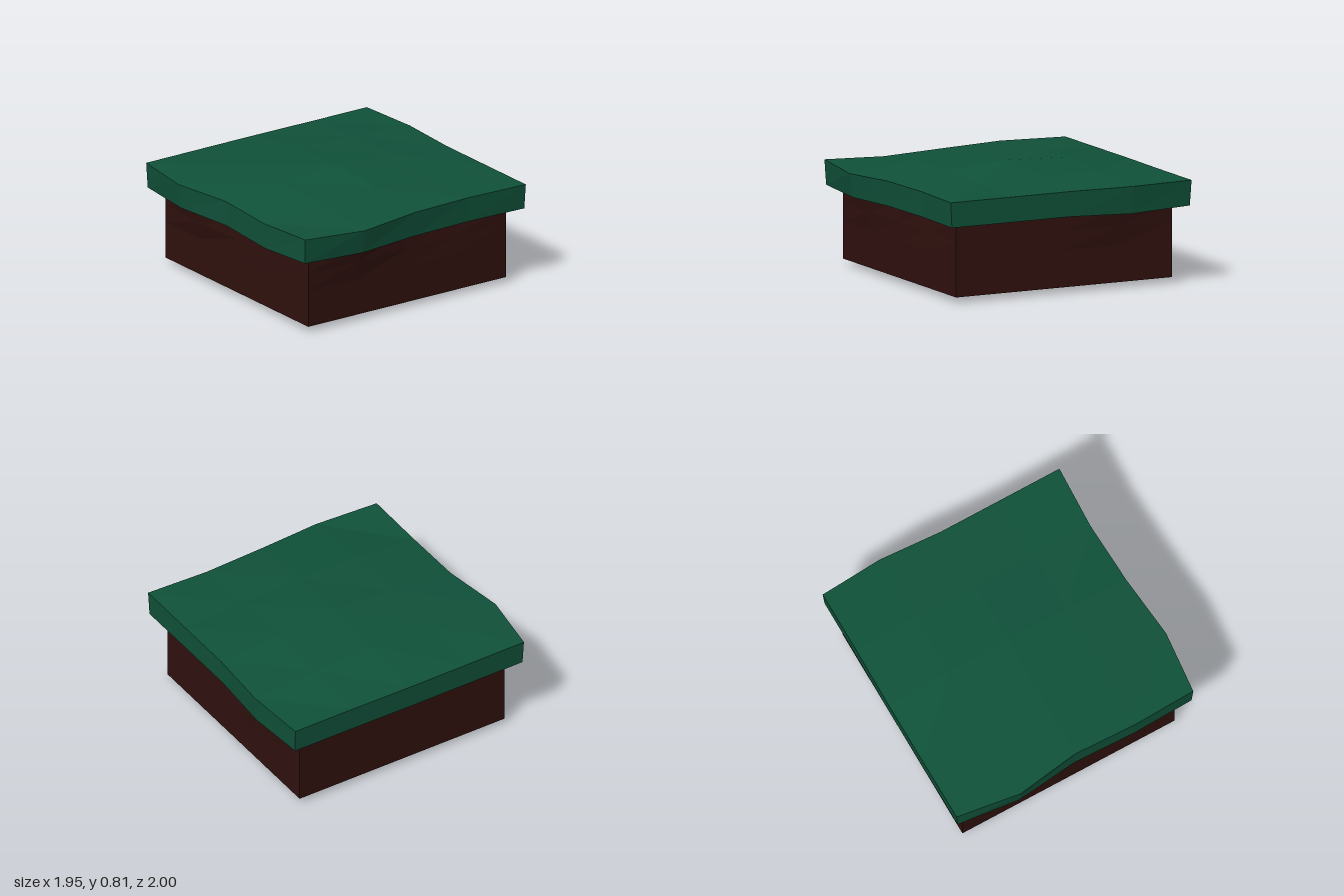
import * as THREE from 'three';

// Box whose vertices are moved by a rule: move(p, i, j, k), with grid indices along x, y, z
function warpedBox(name, color, x0, x1, y0, y1, z0, z1, ySeg, move) {
  const geo = new THREE.BoxGeometry(1, 1, 1, 4, ySeg, 4);
  const pos = geo.attributes.position;
  const p = new THREE.Vector3();
  for (let n = 0; n < pos.count; n++) {
    p.fromBufferAttribute(pos, n).addScalar(0.5);
    const i = Math.round(p.x * 4), j = Math.round(p.y * ySeg), k = Math.round(p.z * 4);
    p.set(x0 + (x1 - x0) * p.x, y0 + (y1 - y0) * p.y, z0 + (z1 - z0) * p.z);
    move(p, i, j, k);
    pos.setXYZ(n, p.x, p.y, p.z);
  }
  geo.computeVertexNormals();
  const mesh = new THREE.Mesh(geo, new THREE.MeshStandardMaterial({ color, flatShading: true }));
  mesh.name = name;
  return mesh;
}

// Outward push of the rim, by grid index along each side
const FRONT = [0, 0.07, 0, 0.01, 0];
const BACK = [0, 0.03, 0, 0, 0];
const RIGHT = [0, -0.02, 0, 0.05, 0];
const LEFT = [0, 0, 0.005, 0.003, 0];

function pushRim(p, i, k, amount) {
  if (k === 4) p.z += FRONT[i] * amount;
  if (k === 0) p.z -= BACK[i] * amount;
  if (i === 4) p.x += RIGHT[k] * amount;
  if (i === 0) p.x -= LEFT[k] * amount;
}

// Heights of the turf's top, rows from back to front
const TOP = [
  [0.735, 0.735, 0.735, 0.735, 0.735],
  [0.735, 0.765, 0.775, 0.75, 0.735],
  [0.735, 0.785, 0.805, 0.775, 0.735],
  [0.735, 0.765, 0.775, 0.76, 0.715],
  [0.735, 0.735, 0.735, 0.715, 0.735],
];

export function createModel() {
  const group = new THREE.Group();
  group.name = 'groundTile';

  // Grass slab: domed top, wavy rim, sides drawn in slightly at the bottom
  group.add(warpedBox('grassTop', 0x10523a, -0.97, 0.925, 0.555, 0.735, -0.97, 0.925, 1, (p, i, j, k) => {
    pushRim(p, i, k, j ? 1 : 0.75);
    if (j === 1) {
      p.y = TOP[k][i];
    } else {
      p.x = -0.02 + (p.x + 0.02) * 0.988;
      p.z = -0.02 + (p.z + 0.02) * 0.995;
      if (k === 4 && i === 3) p.y = 0.53;
      if (i === 4 && k === 3) p.y = 0.545;
      if (k === 0 && i === 1) p.y = 0.54;
    }
  }));

  // Soil block: bulges towards the top, underside sags in the middle row
  const sag = [0, 0.02, 0.025, 0.04, 0];
  group.add(warpedBox('soilBlock', 0x30110e, -0.87, 0.83, 0.04, 0.57, -0.87, 0.83, 4, (p, i, j, k) => {
    pushRim(p, i, k, [0, 0, 0, 0.4, 0.8][j]);
    if (j === 0 && k === 2) p.y -= sag[i];
  }));

  return group;
}
